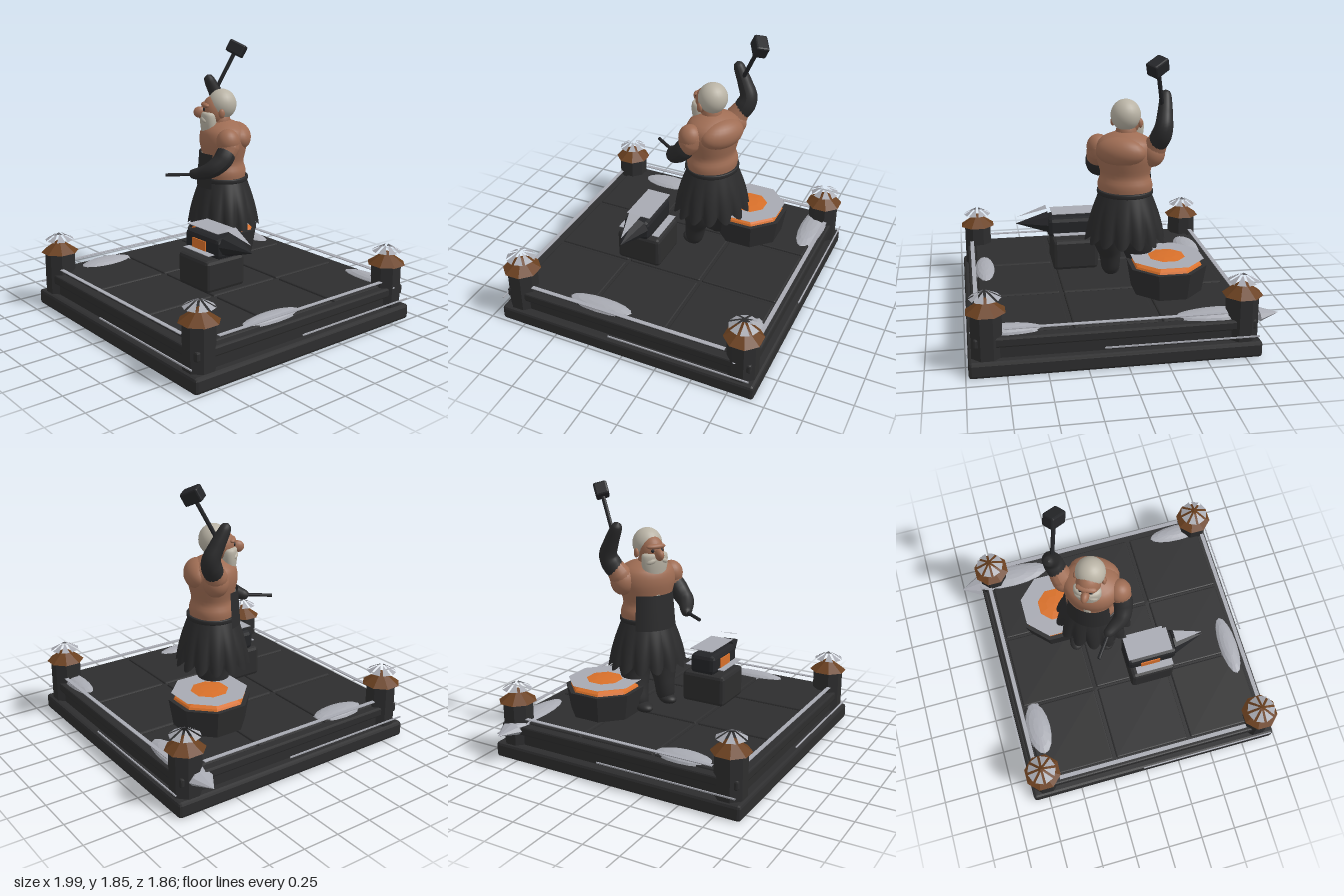
import * as THREE from 'three';
import { RoundedBoxGeometry } from 'three/addons/geometries/RoundedBoxGeometry.js';

const V = (x, y, z) => new THREE.Vector3(x, y, z);

export function createModel() {
  const model = new THREE.Group();
  model.name = 'smithOnPlinth';
  const material = (name, color, extra = {}) => {
    const m = new THREE.MeshStandardMaterial({ color, ...extra });
    m.name = name;
    return m;
  };
  const stone = material('darkStone', 0x2d2d2e, { flatShading: true });
  const leather = material('blackLeather', 0x2b2b2c, { side: THREE.DoubleSide });
  const iron = material('blackIron', 0x242528, { flatShading: true });
  const silver = material('paleSilver', 0xa8aab2, { flatShading: true, side: THREE.DoubleSide });
  const copper = material('brownCopper', 0x6a4020, { flatShading: true });
  const ember = material('orangeEmber', 0xd8702a, { flatShading: true });
  const skin = material('skin', 0x9f6d54);
  const hair = material('greyHair', 0xb9b3a5);

  const add = (name, geo, mat, x = 0, y = 0, z = 0, parent = model) => {
    const m = new THREE.Mesh(geo, mat);
    m.name = name;
    m.position.set(x, y, z);
    parent.add(m);
    return m;
  };
  const block = (name, mat, w, h, d, x, y, z, bevel = 0.012) =>
    add(name, new RoundedBoxGeometry(w, h, d, 1, bevel), mat, x, y, z);
  const plate = (name, mat, w, h, d, x, y, z) =>
    add(name, new THREE.BoxGeometry(w, h, d), mat, x, y, z);
  const ball = (name, mat, rx, ry, rz, x, y, z, parent = model, ws = 24, hs = 16) => {
    const m = add(name, new THREE.SphereGeometry(1, ws, hs), mat, x, y, z, parent);
    m.scale.set(rx, ry, rz);
    return m;
  };
  const prism = (rt, rb, h, n) => new THREE.CylinderGeometry(rt, rb, h, n).rotateY(Math.PI / n);
  const triangles = (points) => {
    const g = new THREE.BufferGeometry().setFromPoints(points);
    g.computeVertexNormals();
    return g;
  };
  // Tube whose radius follows a list, closed at both ends
  const limb = (name, mat, points, radii) => {
    const curve = new THREE.CatmullRomCurve3(points.map((p) => V(...p)));
    const n = 28, sides = 16;
    const g = new THREE.TubeGeometry(curve, n, 1, sides);
    const p = g.attributes.position, v = V(0, 0, 0);
    for (let i = 0; i <= n; i++) {
      const t = i / n, c = curve.getPointAt(t), f = t * (radii.length - 1);
      const k = Math.min(Math.floor(f), radii.length - 2);
      const end = Math.sqrt(Math.max(0, 1 - Math.pow(Math.abs(2 * t - 1), 12)));
      const r = THREE.MathUtils.lerp(radii[k], radii[k + 1], f - k) * end;
      for (let j = 0; j <= sides; j++) {
        const q = i * (sides + 1) + j;
        v.fromBufferAttribute(p, q).sub(c).multiplyScalar(r).add(c);
        p.setXYZ(q, v.x, v.y, v.z);
      }
    }
    g.computeVertexNormals();
    return add(name, g, mat);
  };
  // Rod between two points
  const rod = (name, mat, a, b, r) => {
    const d = b.clone().sub(a);
    const m = add(name, new THREE.CylinderGeometry(r, r, d.length(), 8), mat);
    m.position.copy(a).addScaledVector(d, 0.5);
    m.quaternion.setFromUnitVectors(V(0, 1, 0), d.normalize());
    return m;
  };
  const lathe = (profile, n = 32) => {
    const curve = new THREE.SplineCurve(profile.map(([r, y]) => new THREE.Vector2(r, y)));
    return new THREE.LatheGeometry(curve.getPoints(24), n);
  };

  // Plinth, low wall and tiled floor
  const cx = 0.063;
  block('plinth', stone, 1.84, 0.105, 1.84, cx, 0.0525, 0, 0.02);
  block('wallFoot', stone, 1.72, 0.1, 1.72, cx, 0.14, 0);
  block('wallRim', stone, 1.77, 0.065, 1.77, cx, 0.213, 0);
  for (let i = -1; i <= 1; i++)
    for (let j = -1; j <= 1; j++)
      block('floorTile', stone, 0.535, 0.04, 0.535, cx + i * 0.56, 0.237, j * 0.55, 0.01);

  // Silver rails and side bands, repeated round the four sides
  for (let k = 0; k < 4; k++) {
    const side = new THREE.Group();
    side.name = 'sideTrim';
    side.position.x = cx;
    side.rotation.y = k * Math.PI / 2;
    model.add(side);
    add('rail', new THREE.BoxGeometry(1.4, 0.005, 0.028), silver, 0, 0.293, 0.852, side);
    add('band', new THREE.BoxGeometry(0.98, 0.009, 0.008), silver, 0.4, 0.153, 0.926, side);
  }

  // Corner posts with copper roofs and silver crowns
  for (const sx of [-1, 1]) for (const sz of [-1, 1]) {
    const post = new THREE.Group();
    post.name = 'cornerPost';
    post.position.set(0.061 + sx * 0.805, 0, sz * 0.803);
    model.add(post);
    add('shaft', prism(0.104, 0.104, 0.3, 8), stone, 0, 0.25, 0, post);
    add('roof', prism(0.01, 0.13, 0.085, 8), copper, 0, 0.438, 0, post);
    const rays = [];
    for (let k = 0; k < 8; k++) {
      const a = k * Math.PI / 4 + Math.PI / 8;
      const at = (t, r, y) => V(Math.sin(t) * r, y, Math.cos(t) * r);
      rays.push(at(a, 0.02, 0.527), at(a - 0.3, 0.1, 0.482), at(a + 0.3, 0.1, 0.482));
    }
    add('crown', triangles(rays), silver, 0, 0, 0, post);
  }

  // Drifts on the floor
  for (const [x, z, rx, rz] of [[-0.6, -0.77, 0.29, 0.09], [0.74, -0.78, 0.23, 0.07],
    [0.835, 0.22, 0.07, 0.24], [-0.695, 0.455, 0.09, 0.205]])
    ball('drift', silver, rx, 0.04, rz, x, 0.246, z, model, 16, 8);
  const spike = add('driftSpike', new THREE.ConeGeometry(0.085, 0.14, 8), silver, -0.93, 0.233, -0.77);
  spike.geometry.rotateZ(Math.PI / 2).scale(1, 0.45, 1);

  // Fire bowl
  const fx = -0.352, fz = -0.36;
  add('fireBowl', prism(0.27, 0.24, 0.18, 8), stone, fx, 0.37, fz);
  add('embers', new THREE.SphereGeometry(0.24, 8, 6, 0, Math.PI * 2, 0, Math.PI / 2)
    .rotateY(Math.PI / 8).scale(1, 0.24, 1), ember, fx, 0.458, fz);
  add('fireCover', new THREE.CircleGeometry(0.252, 8).rotateZ(Math.PI / 8).rotateX(-Math.PI / 2),
    silver, fx, 0.507, fz);

  // Anvil on its block
  block('anvilBlock', stone, 0.315, 0.22, 0.32, 0.203, 0.395, 0.187, 0.025);
  block('anvilBody', iron, 0.36, 0.14, 0.185, 0.21, 0.578, 0.187, 0.03);
  add('anvilHorn', new THREE.ConeGeometry(0.09, 0.225, 8).rotateZ(-Math.PI / 2), iron,
    0.498, 0.6, 0.182).scale.y = 0.85;
  plate('anvilFace', silver, 0.32, 0.004, 0.17, 0.2, 0.681, 0.177);
  add('hornFace', triangles([V(0.395, 0.712, 0.137), V(0.395, 0.712, 0.227), V(0.6, 0.648, 0.182)]), silver);
  for (const z of [0.055, 0.307]) plate('anvilLedge', silver, 0.27, 0.004, 0.05, 0.22, 0.543, z);
  plate('hotPatch', ember, 0.14, 0.065, 0.008, 0.195, 0.578, 0.284);

  // Legs and boots
  limb('leftLeg', leather, [[-0.02, 0.76, -0.13], [0, 0.57, -0.11], [-0.02, 0.43, -0.08], [-0.025, 0.29, -0.065]], [0.11, 0.115, 0.075, 0.06]);
  limb('rightLeg', leather, [[-0.18, 0.76, -0.2], [-0.18, 0.57, -0.22], [-0.21, 0.43, -0.19], [-0.24, 0.29, -0.14]], [0.11, 0.12, 0.085, 0.06]);
  ball('leftBoot', leather, 0.055, 0.035, 0.075, -0.035, 0.312, -0.045).rotation.y = -0.4;
  ball('rightBoot', leather, 0.055, 0.035, 0.08, -0.25, 0.312, -0.11).rotation.y = -0.4;

  // Body turned toward the model's right
  const body = new THREE.Group();
  body.name = 'body';
  body.position.set(-0.105, 0, -0.165);
  body.rotation.y = -0.5;
  model.add(body);
  const torso = lathe([[0.15, 0.82], [0.165, 0.9], [0.172, 0.97], [0.155, 1.03], [0.17, 1.1],
    [0.185, 1.18], [0.165, 1.26], [0.08, 1.31], [0.001, 1.33]]);
  add('torso', torso, skin, 0, 0, 0, body).scale.set(1.08, 1, 0.9);
  ball('upperBack', skin, 0.17, 0.1, 0.1, 0, 1.2, -0.09, body);
  ball('neck', skin, 0.07, 0.1, 0.07, 0, 1.3, 0.02, body);

  // Pleated apron skirt
  const skirt = new THREE.CylinderGeometry(0.165, 0.245, 0.3, 112, 10, true);
  const sp = skirt.attributes.position;
  for (let i = 0; i < sp.count; i++) {
    const x = sp.getX(i), y = sp.getY(i), z = sp.getZ(i), a = Math.atan2(x, z);
    const drop = (0.15 - y) / 0.3, wave = Math.abs(Math.sin(a * 7));
    const s = 1 + drop * (0.16 * wave - 0.07) + 0.07 * Math.sin(drop * Math.PI);
    sp.setXYZ(i, x * s * 1.04, 0.77 + y - drop * 0.05 * wave, z * s * 0.95);
  }
  skirt.computeVertexNormals();
  add('skirt', skirt, leather, 0, 0, 0, body);
  add('waistBand', lathe([[0.163, 0.895], [0.18, 0.9], [0.182, 0.925], [0.168, 0.93]]), leather, 0, 0, 0, body)
    .scale.set(1.04, 1, 0.95);
  // Bib wrapped over the belly
  const bib = new THREE.CylinderGeometry(0.165, 0.183, 0.24, 24, 4, true, -0.95, 1.9);
  add('bib', bib, leather, 0, 0.98, 0.012, body).scale.set(1.06, 1, 0.95);

  // Head, hair and beard
  ball('face', skin, 0.083, 0.105, 0.085, 0.0, 1.385, 0.065, body);
  ball('hairCap', hair, 0.1, 0.105, 0.1, 0, 1.428, 0.01, body);
  ball('brow', skin, 0.07, 0.02, 0.03, 0, 1.425, 0.125, body);
  ball('nose', skin, 0.028, 0.04, 0.045, 0, 1.375, 0.165, body);
  for (const s of [-1, 1]) {
    ball('eye', iron, 0.012, 0.012, 0.008, s * 0.035, 1.4, 0.142, body, 10, 8);
    ball('ear', skin, 0.015, 0.032, 0.022, s * 0.096, 1.375, 0.03, body);
    ball('moustache', hair, 0.048, 0.022, 0.03, s * 0.035, 1.335, 0.135, body).rotation.z = -s * 0.4;
  }
  const beard = lathe([[0.004, 0.97], [0.03, 1.03], [0.052, 1.13], [0.078, 1.23], [0.094, 1.31], [0.09, 1.37], [0.05, 1.385]], 20);
  add('beard', beard, hair, 0, 0, 0.105, body).scale.z = 0.62;
  ball('beardTip', hair, 0.03, 0.09, 0.025, 0, 1.07, 0.13, body);

  // Left arm, held forward with a punch
  ball('leftShoulder', skin, 0.078, 0.085, 0.08, 0.06, 1.2, -0.07);
  limb('leftUpperArm', skin, [[0.05, 1.23, -0.09], [0.065, 1.16, -0.07], [0.075, 1.09, -0.03]], [0.07, 0.075, 0.06]);
  limb('leftSleeve', leather, [[0.065, 1.17, -0.075], [0.072, 1.08, -0.015], [0.04, 1.02, 0.055], [-0.04, 0.985, 0.105], [-0.1, 0.975, 0.14]],
    [0.066, 0.068, 0.06, 0.045, 0.032]);
  rod('punch', iron, V(-0.06, 0.977, 0.11), V(-0.18, 0.975, 0.28), 0.012);

  // Right arm, raised with the hammer
  ball('rightShoulder', skin, 0.085, 0.095, 0.085, -0.27, 1.19, -0.25);
  limb('rightUpperArm', skin, [[-0.25, 1.16, -0.23], [-0.285, 1.23, -0.26], [-0.31, 1.32, -0.31]], [0.075, 0.075, 0.055]);
  limb('rightSleeve', leather, [[-0.29, 1.23, -0.265], [-0.325, 1.36, -0.325], [-0.342, 1.46, -0.29], [-0.352, 1.53, -0.255], [-0.36, 1.6, -0.22]],
    [0.066, 0.068, 0.055, 0.045, 0.035]);
  const grip = V(-0.333, 1.47, -0.265), top = V(-0.262, 1.78, -0.412);
  const handle = rod('hammerHandle', iron, grip, top, 0.014);
  const hammer = add('hammerHead', new RoundedBoxGeometry(0.125, 0.09, 0.09, 1, 0.012), iron);
  hammer.position.copy(top);
  hammer.quaternion.copy(handle.quaternion)
    .multiply(new THREE.Quaternion().setFromAxisAngle(V(0, 1, 0), 0.6));

  return model;
}
